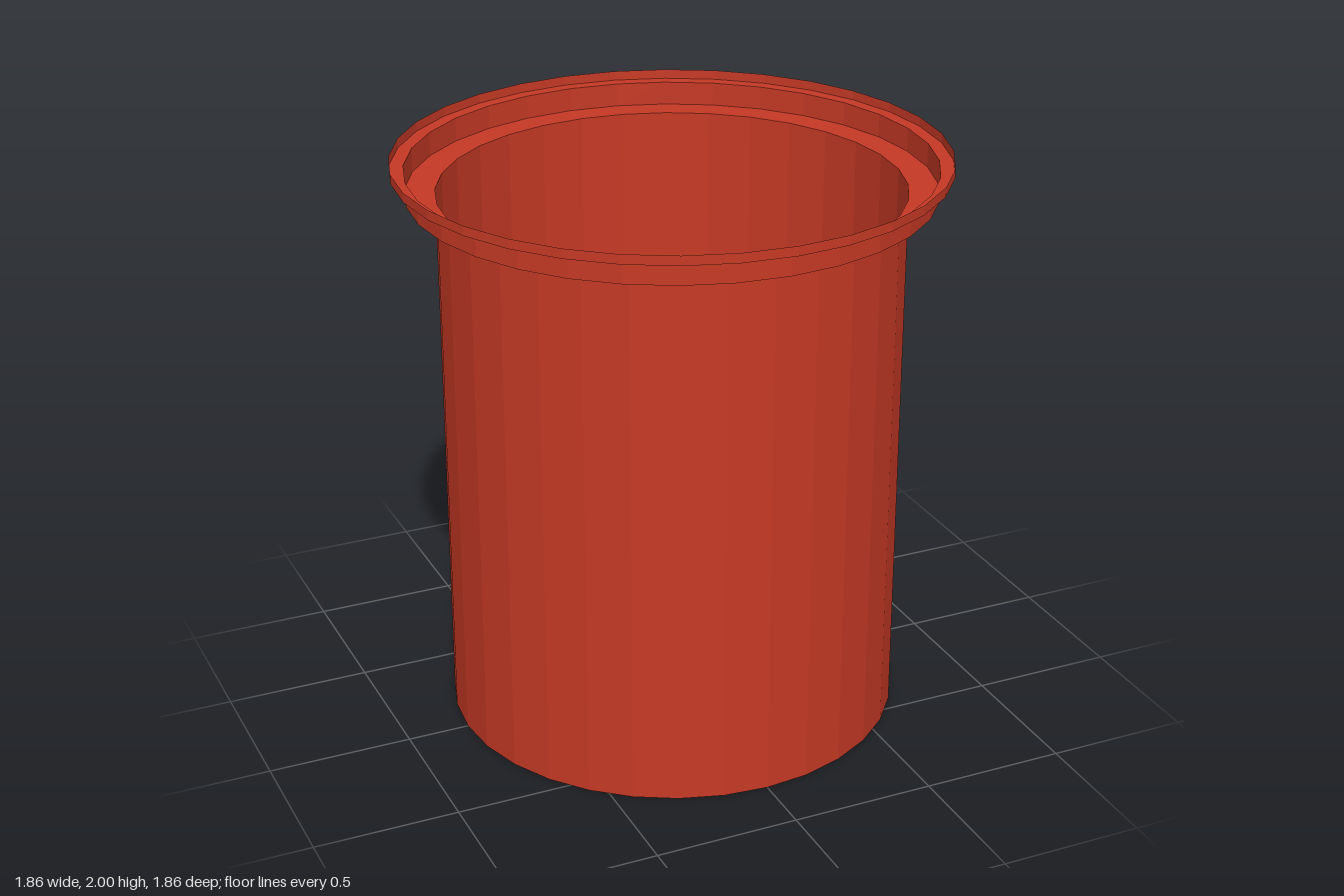
import * as THREE from 'three';

const SIDES = 32;
const WALL = 0.784, COLLAR = 0.885, RIM = 0.932;

export function createModel() {
  const group = new THREE.Group();
  group.name = 'cup';
  const red = new THREE.MeshStandardMaterial({
    color: 0xc63925, flatShading: true, side: THREE.DoubleSide,
  });
  red.name = 'brick red';

  // Faceted thin shell turned from a profile of [radius, height] points
  function turned(name, profile) {
    const points = profile.map(([r, y]) => new THREE.Vector2(r, y));
    const geometry = new THREE.LatheGeometry(points, SIDES).toNonIndexed();
    geometry.computeVertexNormals();
    const mesh = new THREE.Mesh(geometry, red);
    mesh.name = name;
    group.add(mesh);
  }

  // Closed base
  const base = new THREE.Mesh(new THREE.CircleGeometry(WALL, SIDES).rotateX(Math.PI / 2), red);
  base.name = 'base';
  group.add(base);

  // Straight wall, stepped collar and wider lip, open at the top
  turned('wall', [[WALL, 0], [WALL, 1.885]]);
  turned('collar', [[WALL, 1.885], [COLLAR, 1.885], [COLLAR, 1.967]]);
  turned('lip', [[COLLAR, 1.967], [RIM, 1.967], [RIM, 2]]);
  return group;
}
